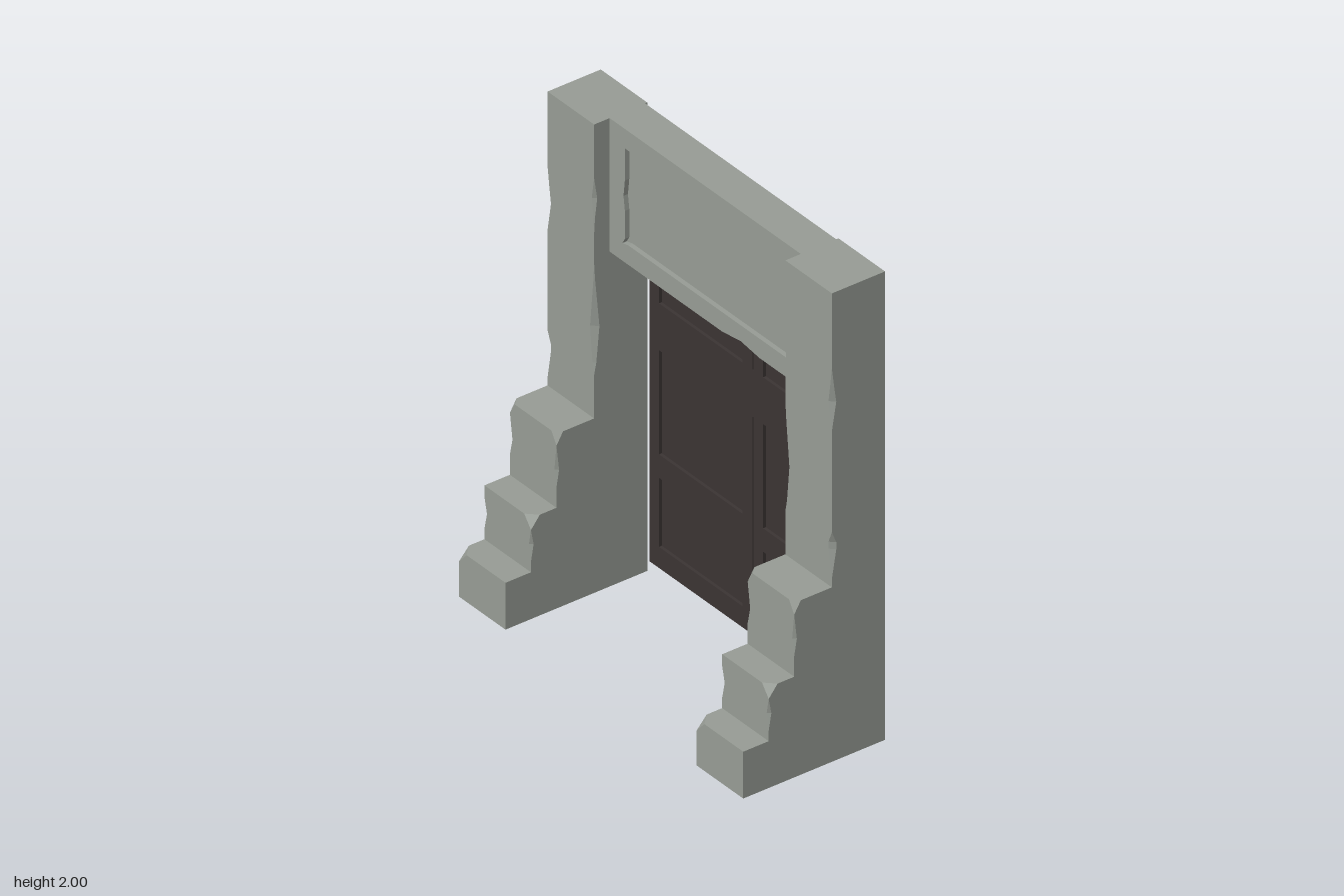
import * as THREE from 'three';

const stone = new THREE.MeshStandardMaterial({ color: 0x979c95, side: THREE.DoubleSide, flatShading: true });
stone.name = 'grey stone';
const wood = new THREE.MeshStandardMaterial({ color: 0x3b3433, flatShading: true });
wood.name = 'dark wood';

function add(parent, name, geometry, material) {
  const mesh = new THREE.Mesh(geometry, material);
  mesh.name = name;
  parent.add(mesh);
  return mesh;
}

// Box given by its limits, with the x limits in either order
function box(xa, xb, y0, y1, z0, z1) {
  return new THREE.BoxGeometry(Math.abs(xb - xa), y1 - y0, z1 - z0)
    .translate((xa + xb) / 2, (y0 + y1) / 2, (z0 + z1) / 2);
}

// Upright block whose two front edges are chipped by [y, chip at x0, chip at x1]
function chippedBlock(x0, x1, z0, z1, sections, closedBottom) {
  const pos = [], index = [], n = 6;
  for (const [y, a, b] of sections) {
    pos.push(x0, y, z0, x0, y, z1 - a, x0 + a, y, z1, x1 - b, y, z1, x1, y, z1 - b, x1, y, z0);
  }
  for (let s = 0; s < sections.length - 1; s++) {
    for (let i = 0; i < n; i++) {
      const p = s * n + i, q = s * n + (i + 1) % n;
      index.push(p, q, q + n, p, q + n, p + n);
    }
  }
  const top = (sections.length - 1) * n;
  for (let i = 1; i < n - 1; i++) {
    index.push(top, top + i, top + i + 1);
    if (closedBottom) index.push(0, i + 1, i);
  }
  const indexed = new THREE.BufferGeometry();
  indexed.setAttribute('position', new THREE.Float32BufferAttribute(pos, 3));
  indexed.setIndex(index);
  const geometry = indexed.toNonIndexed();
  geometry.computeVertexNormals();
  return geometry;
}

const points = list => list.map(([x, y]) => new THREE.Vector2(x, y));
const rect = (xa, xb, y0, y1) => {
  const l = Math.min(xa, xb), r = Math.max(xa, xb);
  return points([[l, y0], [r, y0], [r, y1], [l, y1]]);
};

// Flat frame with holes, between two depths
function frame(outline, holes, z0, z1) {
  const shape = new THREE.Shape(outline);
  shape.holes = holes.map(h => new THREE.Path(h));
  return new THREE.ExtrudeGeometry(shape, { depth: z1 - z0, bevelEnabled: false }).translate(0, 0, z0);
}

function pillar(side) {
  const group = new THREE.Group();
  const x0 = side > 0 ? 0.565 : -0.84, x1 = side > 0 ? 0.84 : -0.565;
  // Shaft: [y, inner chip, outer chip]
  const chips = [
    [0, 0, 0], [0.78, 0, 0], [0.9, 0, 0.02], [0.93, 0, 0.02], [0.98, 0.01, 0], [1.13, 0.024, 0],
    [1.34, 0.004, 0], [1.41, 0, 0], [1.53, 0, 0.02], [1.6, 0.004, 0.01], [1.68, 0.014, 0], [1.77, 0, 0], [2, 0, 0],
  ].map(([y, a, b]) => side > 0 ? [y, a, b] : [y, b, a]);
  add(group, 'pillarShaft', chippedBlock(x0, x1, -0.28, -0.04, chips, true), stone);

  // Stepped buttress: [bottom, top, front, top chip at x0, top chip at x1]
  const steps = [
    [0, 0.2, 0.36, 0.045, 0], [0.2, 0.43, 0.245, 0, 0.04], [0.43, 0.745, 0.13, 0.03, 0.03],
  ];
  for (const [y0, y1, z, a, b] of steps) {
    const m = (y0 + y1) / 2;
    const sections = [[y0, 0, 0], [m - 0.07, 0, 0], [m, y0 ? 0.015 : 0, y0 ? 0.012 : 0],
      [y1 - 0.05, 0, 0], [y1, a, b]];
    add(group, 'buttressStep', chippedBlock(x0, x1, -0.04, z, sections, false), stone);
  }
  return group;
}

function doorLeaf(side) {
  const group = new THREE.Group();
  const inner = side * 0.003, outer = side * 0.61;
  const panelIn = side * 0.06, panelOut = side * 0.555;
  const panels = [[0.09, 0.385], [0.485, 0.93], [1.13, 1.8]];
  const holes = panels.map(([y0, y1]) => rect(panelIn, panelOut, y0, y1));
  add(group, 'doorFrame', frame(rect(inner, outer, 0, 1.87), holes, -0.345, -0.325), wood);
  // Panels sunk at the front and raised at the back
  for (const [y0, y1] of panels) {
    add(group, 'doorPanel', box(panelIn, panelOut, y0, y1, -0.36, -0.338), wood);
  }
  // Raised rim around the back
  add(group, 'doorRimSide', box(side * 0.592, outer, 0, 1.87, -0.36, -0.335), wood);
  add(group, 'doorRimTop', box(inner, side * 0.592, 1.852, 1.87, -0.36, -0.335), wood);
  add(group, 'doorRimBottom', box(inner, side * 0.592, 0, 0.018, -0.36, -0.335), wood);
  return group;
}

export function createModel() {
  const model = new THREE.Group();
  model.name = 'stoneDoorway';

  for (const side of [1, -1]) {
    const p = pillar(side);
    p.name = side > 0 ? 'leftPillar' : 'rightPillar';
    const d = doorLeaf(side);
    d.name = side > 0 ? 'leftDoor' : 'rightDoor';
    model.add(p, d);
  }

  // Lintel: plain slab with a chipped frame around a sunken panel
  add(model, 'lintelSlab', box(-0.565, 0.565, 1.445, 2, -0.27, -0.13), stone);
  add(model, 'lintelSoffit', box(-0.565, 0.565, 1.43, 1.445, -0.27, -0.13), stone);
  const outline = points([[-0.565, 1.43], [0.1, 1.43], [0.21, 1.445], [0.32, 1.43], [0.565, 1.43], [0.565, 2], [-0.565, 2]]);
  const hole = points([[-0.475, 1.53], [-0.49, 1.505], [-0.455, 1.513], [0.487, 1.513], [0.487, 1.9], [0.507, 1.925],
    [0.46, 1.917], [0.32, 1.917], [0.21, 1.925], [0.1, 1.917], [-0.475, 1.917], [-0.475, 1.78], [-0.483, 1.71], [-0.475, 1.65]]);
  add(model, 'lintelFrame', frame(outline, [hole], -0.13, -0.11), stone);

  // Wide bar across both doors
  add(model, 'doorBar', box(-0.585, 0.585, 0.93, 1.13, -0.36, -0.325), wood);
  return model;
}
